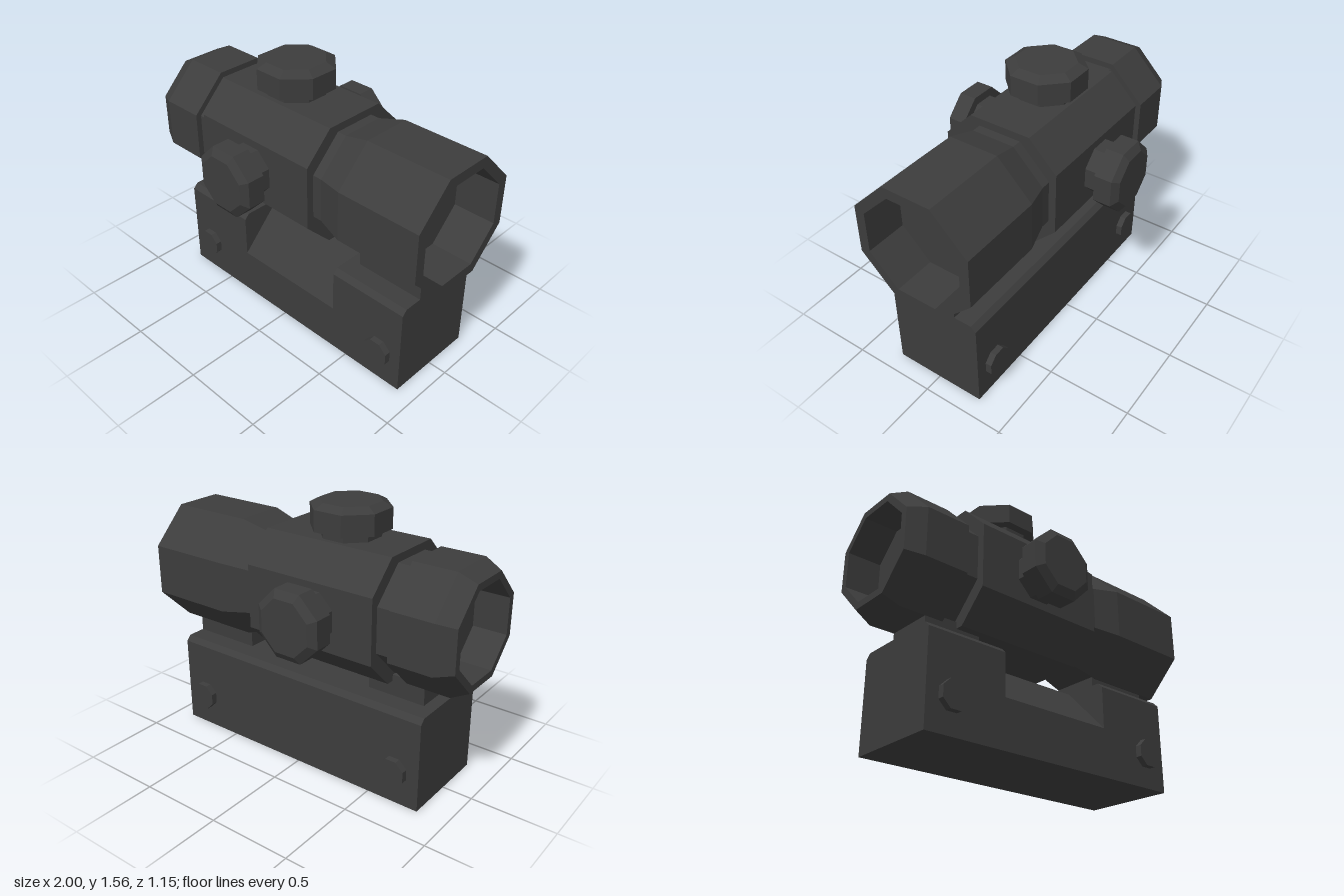
import * as THREE from 'three';

const AXIS_Y = 1.009;
const charcoal = new THREE.MeshStandardMaterial({ color: 0x3c3c3c, flatShading: true });
charcoal.name = 'charcoal';

// Eight-sided turned part; profile is [flat-to-centre distance, height] from bottom to top
function turned(name, profile) {
  const k = 1 / Math.cos(Math.PI / 8);
  const pts = profile.map(([r, h]) => new THREE.Vector2(r * k, h));
  const mesh = new THREE.Mesh(new THREE.LatheGeometry(pts, 8, Math.PI / 8), charcoal);
  mesh.name = name;
  return mesh;
}

// Cross-section of [z, y] points swept along x from x0 to x1
function sweptX(name, section, x0, x1) {
  const shape = new THREE.Shape(section.map(([z, y]) => new THREE.Vector2(-z, y)));
  const geo = new THREE.ExtrudeGeometry(shape, { depth: x1 - x0, bevelEnabled: false });
  geo.rotateY(Math.PI / 2);
  geo.translate(x0, 0, 0);
  const mesh = new THREE.Mesh(geo, charcoal);
  mesh.name = name;
  return mesh;
}

// Adjustment knob with a narrow stem, standing on y = 0
function knob(name, stemR, stemH, r, rTop, height) {
  return turned(name, [
    [0, -0.03], [stemR, -0.03], [stemR, stemH], [r, stemH],
    [r, height - 0.03], [rTop, height], [0, height],
  ]);
}

export function createModel() {
  const model = new THREE.Group();
  model.name = 'opticalSight';

  // Tube: hollow eyepiece, necks and hollow front bell along x
  const tube = new THREE.Group();
  tube.name = 'tube';
  tube.rotation.z = -Math.PI / 2;
  tube.position.y = AXIS_Y;
  tube.add(
    turned('eyepiece', [
      [0, -0.8], [0.257, -0.8], [0.257, -1], [0.297, -1], [0.345, -0.9], [0.345, -0.64], [0, -0.64],
    ]),
    turned('rearNeck', [[0, -0.65], [0.312, -0.65], [0.312, -0.54], [0, -0.54]]),
    turned('frontBell', [
      [0, 0.26], [0.313, 0.26], [0.313, 0.33], [0.357, 0.49], [0.357, 1],
      [0.297, 1], [0.297, 0.75], [0, 0.75],
    ]),
  );
  model.add(tube);

  // Central housing with wide flats
  const h = 0.357, f = 0.188;
  const octagon = [[f, h], [h, f], [h, -f], [f, -h], [-f, -h], [-h, -f], [-h, f], [-f, h]];
  model.add(sweptX('housing', octagon.map(([z, y]) => [z, y + AXIS_Y]), -0.55, 0.273));

  // Knobs on the top and both sides
  const topKnob = knob('topKnob', 0.16, 0.045, 0.212, 0.16, 0.195);
  topKnob.position.set(-0.16, AXIS_Y + h, 0);
  model.add(topKnob);
  for (const side of [1, -1]) {
    const k = knob(side > 0 ? 'frontKnob' : 'backKnob', 0.143, 0.085, 0.193, 0.15, 0.22);
    k.rotation.x = side * Math.PI / 2;
    k.position.set(-0.16, AXIS_Y, side * h);
    model.add(k);
  }

  // Mount block, with a sloped cut in the middle of its front
  const full = [[0.283, 0], [0.283, 0.535], [0.253, 0.565], [-0.253, 0.565], [-0.283, 0.535], [-0.283, 0]];
  const cut = [[0.283, 0], [0.283, 0.285], [0.016, 0.565], [-0.253, 0.565], [-0.283, 0.535], [-0.283, 0]];
  model.add(
    sweptX('mountRear', full, -0.82, -0.33),
    sweptX('mountMiddle', cut, -0.33, 0.397),
    sweptX('mountFront', full, 0.397, 0.888),
  );

  // Pads joining mount and tube
  for (const [name, x0, x1] of [['rearPad', -0.75, -0.397], ['frontPad', 0.465, 0.888]]) {
    const pad = new THREE.Mesh(new THREE.BoxGeometry(x1 - x0, 0.14, 0.286), charcoal);
    pad.name = name;
    pad.position.set((x0 + x1) / 2, 0.62, 0);
    model.add(pad);
  }

  // Clamp bolts on both sides
  for (const x of [-0.665, 0.74]) {
    for (const side of [1, -1]) {
      const bolt = turned('clampBolt', [[0, 0], [0.079, 0], [0.079, 0.06], [0, 0.06]]);
      bolt.rotation.x = side * Math.PI / 2;
      bolt.position.set(x, 0.203, side * 0.26);
      model.add(bolt);
    }
  }

  return model;
}
